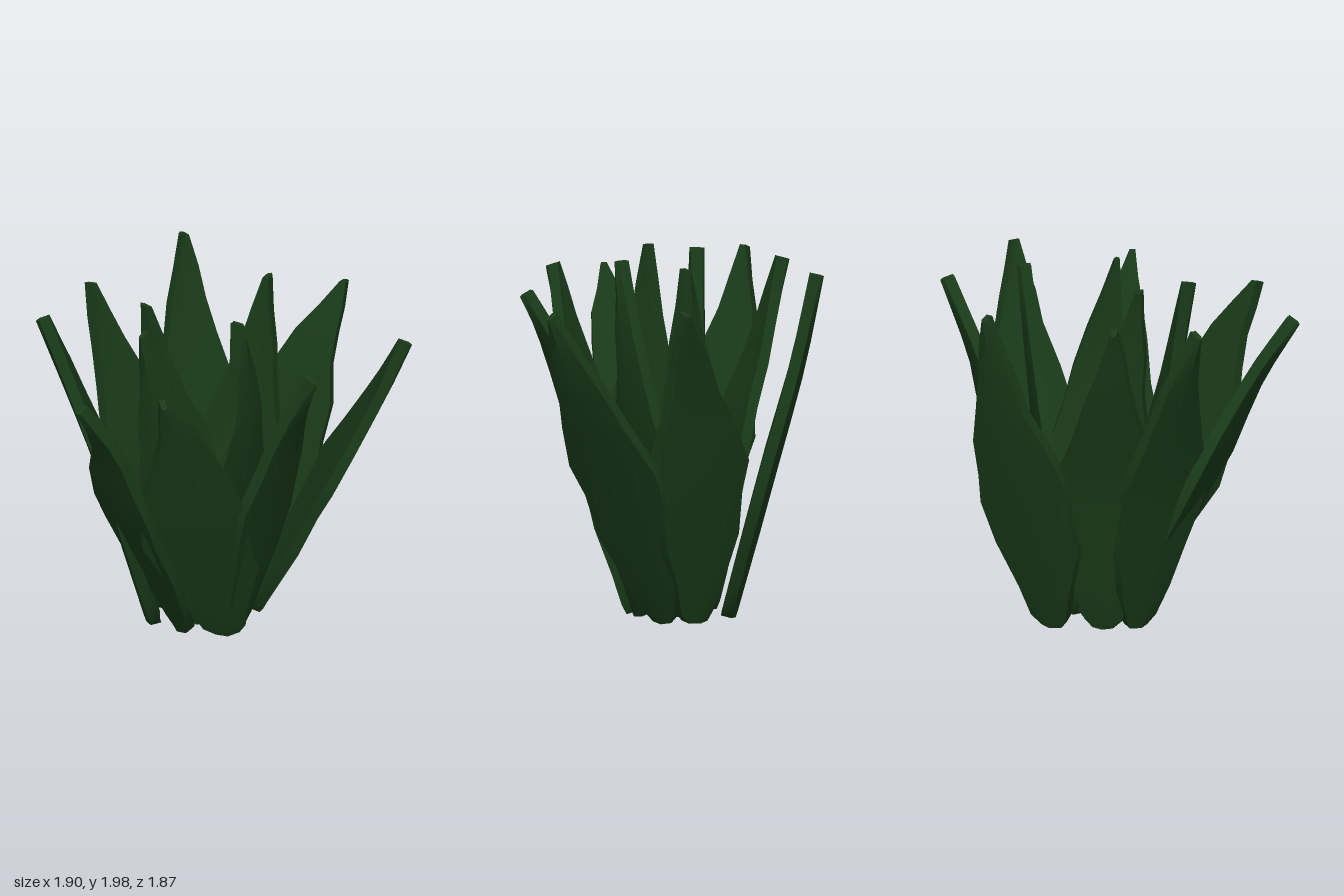
import * as THREE from 'three';
import { toCreasedNormals } from 'three/addons/utils/BufferGeometryUtils.js';

const material = new THREE.MeshStandardMaterial({ color: 0x193a19 });

// Leaf outline: [position along the leaf, share of the full half width]
const OUTLINE = [
  [0, 0.22], [0.03, 0.38], [0.13, 0.58], [0.28, 0.87], [0.41, 0.97], [0.5, 1],
  [0.61, 0.81], [0.72, 0.55], [0.82, 0.38], [0.91, 0.22], [1, 0.06],
];
const THICKNESS = 0.075;

// base, mid and high are [x, z] at rising heights, tip is [x, y, z],
// facing is the outward [x, z] direction and w the half width
const OUTER = [
  { base: [-0.05, -0.46], mid: [0.03, -0.65], high: [0.19, -0.77], tip: [0.34, 1.83, -0.91], facing: [-0.12, -1], w: 0.3 },
  { base: [0.08, -0.34], mid: [0.48, -0.43], high: [0.75, -0.46], tip: [0.92, 1.81, -0.46], facing: [0.91, -0.41], w: 0.26 },
  { base: [0.07, -0.1], mid: [0.31, 0], high: [0.48, 0.08], tip: [0.65, 1.82, 0.16], facing: [1, 0.15], w: 0.25 },
  { base: [0.05, -0.01], mid: [0.03, 0.39], high: [0.07, 0.57], tip: [0.04, 1.83, 0.77], facing: [0.6, 0.8], w: 0.3 },
  { base: [-0.19, 0.05], mid: [-0.36, 0.45], high: [-0.34, 0.71], tip: [-0.4, 1.76, 0.9], facing: [-0.5, 0.86], w: 0.26 },
  { base: [-0.37, 0.04], mid: [-0.57, 0.17], high: [-0.77, 0.2], tip: [-0.92, 1.9, 0.29], facing: [-0.87, 0.48], w: 0.27 },
  { base: [-0.37, -0.15], mid: [-0.51, -0.16], high: [-0.7, -0.16], tip: [-0.85, 1.91, -0.16], facing: [-0.94, -0.33], w: 0.27 },
  { base: [-0.3, -0.42], mid: [-0.45, -0.61], high: [-0.53, -0.74], tip: [-0.6, 1.94, -0.83], facing: [-0.78, -0.6], w: 0.28 },
];
const INNER = [
  { base: [-0.11, -0.27], mid: [-0.07, -0.43], high: [0, -0.48], tip: [0.06, 1.99, -0.53], facing: [0, -1], w: 0.26 },
  { base: [-0.14, -0.06], mid: [-0.14, 0.18], high: [-0.22, 0.26], tip: [-0.29, 1.97, 0.34], facing: [0, 1], w: 0.24 },
  { base: [-0.22, -0.18], mid: [-0.29, -0.13], high: [-0.36, -0.04], tip: [-0.42, 1.98, 0.04], facing: [-0.9, -0.4], w: 0.24 },
  { base: [-0.1, -0.18], mid: [0.06, -0.13], high: [0.13, -0.09], tip: [0.13, 1.97, 0], facing: [1, 0.1], w: 0.25 },
];

// One thick, nearly flat blade swept along a curve with a closed six-point section
function leafGeometry({ base, mid, high, tip, facing, w }, seed) {
  const path = new THREE.CatmullRomCurve3([
    new THREE.Vector3(base[0], 0.025, base[1]),
    new THREE.Vector3(
      THREE.MathUtils.lerp(base[0], mid[0], 0.47), 0.45,
      THREE.MathUtils.lerp(base[1], mid[1], 0.47)),
    new THREE.Vector3(mid[0], 0.92, mid[1]),
    new THREE.Vector3(high[0], 1.43, high[1]),
    new THREE.Vector3(...tip),
  ]);
  const side = new THREE.Vector3(facing[1], 0, -facing[0]).normalize();
  const positions = [];
  const index = [];

  OUTLINE.forEach(([t, share], row) => {
    const centre = path.getPoint(t);
    const normal = new THREE.Vector3().crossVectors(side, path.getTangent(t)).normalize();
    const half = w * share;
    // Small uneven steps make the margins wavy
    const wave = (k) => 1 + 0.07 * Math.sin(row * 2.3 + seed * 1.7 + k);
    const ring = [
      [-half * wave(0), 0.2], [0, 0.45 + share * 0.2], [half * wave(2), 0.2],
      [half * wave(2), -0.6], [0, -0.55 + share * 0.1], [-half * wave(0), -0.6],
    ];
    for (const [across, out] of ring) {
      const p = centre.clone().addScaledVector(side, across)
        .addScaledVector(normal, out * THICKNESS);
      positions.push(p.x, Math.max(0, p.y), p.z);
    }
  });

  const n = 6;
  for (let i = 0; i < OUTLINE.length - 1; i++) {
    for (let k = 0; k < n; k++) {
      const a = i * n + k, b = i * n + (k + 1) % n;
      index.push(a, b, b + n, a, b + n, a + n);
    }
  }
  // End caps, split along the middle of the blade
  const top = (OUTLINE.length - 1) * n;
  for (const [a, b, c] of [[0, 1, 5], [1, 4, 5], [1, 2, 4], [2, 3, 4]]) {
    index.push(top + a, top + b, top + c, c, b, a);
  }

  const geometry = new THREE.BufferGeometry();
  geometry.setAttribute('position', new THREE.Float32BufferAttribute(positions, 3));
  geometry.setIndex(index);
  return toCreasedNormals(geometry, 0.7);
}

function leafRing(name, leafName, leaves, seed) {
  const ring = new THREE.Group();
  ring.name = name;
  leaves.forEach((leaf, i) => {
    const mesh = new THREE.Mesh(leafGeometry(leaf, seed + i), material);
    mesh.name = leafName + (i + 1);
    ring.add(mesh);
  });
  return ring;
}

export function createModel() {
  const plant = new THREE.Group();
  plant.name = 'succulentPlant';
  plant.add(leafRing('outerLeaves', 'outerLeaf', OUTER, 0));
  plant.add(leafRing('innerLeaves', 'innerLeaf', INNER, 20));
  return plant;
}
